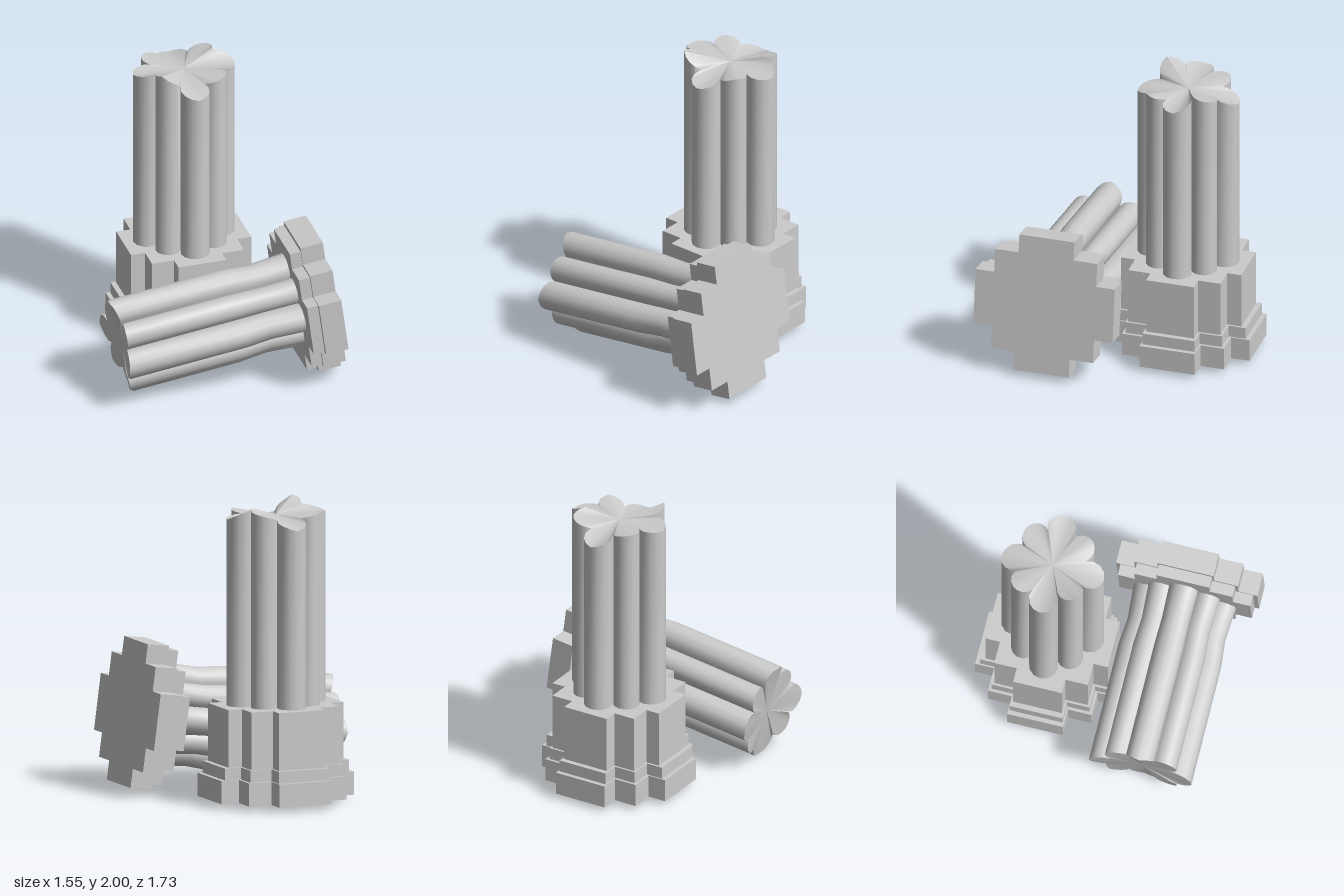
import * as THREE from 'three';
import { toCreasedNormals } from 'three/addons/utils/BufferGeometryUtils.js';

const stone = new THREE.MeshStandardMaterial({ color: 0xcccccc });
const shell = new THREE.MeshStandardMaterial({ color: 0xcccccc, side: THREE.DoubleSide });

// Skin a stack of closed rings; optional end caps fan out from a point on the axis
function loft(rings, bottomY, topY) {
  const pos = [];
  const tri = (...pts) => pts.forEach((p) => pos.push(p.x, p.y, p.z));
  const n = rings[0].length;
  for (let r = 0; r < rings.length - 1; r++) {
    const lo = rings[r], hi = rings[r + 1];
    for (let i = 0; i < n; i++) {
      const j = (i + 1) % n;
      tri(lo[i], hi[i], lo[j]);
      tri(lo[j], hi[i], hi[j]);
    }
  }
  const first = rings[0], last = rings[rings.length - 1];
  for (let i = 0; i < n; i++) {
    const j = (i + 1) % n;
    if (bottomY !== null) tri(new THREE.Vector3(0, bottomY, 0), first[i], first[j]);
    if (topY !== null) tri(new THREE.Vector3(0, topY, 0), last[j], last[i]);
  }
  const geo = new THREE.BufferGeometry();
  geo.setAttribute('position', new THREE.Float32BufferAttribute(pos, 3));
  return toCreasedNormals(geo, 0.7);
}

// Stepped cross outline: arm reach a, shoulder b, arm half width c
function crossRing(a, b, c, y) {
  const quarter = [[a, -c], [a, c], [b, c], [b, b], [c, b]];
  const ring = [];
  for (let q = 0; q < 4; q++) {
    for (const [x, z] of quarter) {
      const [s, t] = [[x, z], [-z, x], [-x, -z], [z, -x]][q];
      ring.push(new THREE.Vector3(s, y, t));
    }
  }
  return ring;
}

// Each tier is [reach, shoulder, arm half width, bottom, top]
function plinth(tiers, closed) {
  const rings = tiers.flatMap(([a, b, c, y0, y1]) => [crossRing(a, b, c, y0), crossRing(a, b, c, y1)]);
  return loft(rings, closed ? tiers[0][3] : null, tiers[tiers.length - 1][4]);
}

// Eight-lobed outline: four large lobes alternating with four smaller ones
const SEG = 8;
function lobeRing(scale, height) {
  const ring = [];
  for (let k = 0; k < 8; k++) {
    const big = k % 2 === 0;
    const dist = big ? 0.252 : 0.22, rad = big ? 0.097 : 0.087;
    const sweep = THREE.MathUtils.degToRad(big ? 118 : 99.5);
    const dir = (k * Math.PI) / 4;
    for (let s = 0; s < SEG; s++) {
      const t = s / SEG;
      const a = dir + sweep * (2 * t - 1);
      ring.push(new THREE.Vector3(
        scale * (dist * Math.cos(dir) + rad * Math.cos(a)),
        height(k, t),
        scale * (dist * Math.sin(dir) + rad * Math.sin(a))));
    }
  }
  return ring;
}

// Broken shaft: sections are [y, scale]; the rim runs valley, tip, valley
function shaft(sections, tips, valleys, centerY) {
  const rim = (k, t) => {
    const from = valleys[(k + 7) % 8], to = valleys[k];
    return t < 0.5
      ? THREE.MathUtils.lerp(from, tips[k], t * 2)
      : THREE.MathUtils.lerp(tips[k], to, t * 2 - 1);
  };
  const rings = sections.map(([y, s]) => lobeRing(s, () => y));
  rings.push(lobeRing(1, rim));
  return loft(rings, sections[0][0], centerY);
}

function part(name, geometry, material, parent) {
  const mesh = new THREE.Mesh(geometry, material);
  mesh.name = name;
  parent.add(mesh);
}

export function createModel() {
  const model = new THREE.Group();
  model.name = 'ruinedColumns';

  // Standing column on a three-tier plinth that is hollow underneath
  const standing = new THREE.Group();
  standing.name = 'standingColumn';
  standing.position.set(-0.015, 0, -0.387);
  part('standingPlinth', plinth([
    [0.48, 0.352, 0.19, 0.035, 0.19],
    [0.45, 0.333, 0.18, 0.19, 0.27],
    [0.415, 0.318, 0.165, 0.27, 0.655],
  ], false), shell, standing);
  part('standingShaft', shaft([[0.65, 1]],
    [1.9, 1.94, 1.85, 2.0, 1.92, 1.94, 1.85, 1.95],
    [1.92, 1.89, 1.9, 1.96, 1.93, 1.91, 1.91, 1.98], 1.91), stone, standing);
  model.add(standing);

  // Fallen column, lying on its side with a two-tier plinth
  const fallen = new THREE.Group();
  fallen.name = 'fallenColumn';
  fallen.position.set(0.71, 0.525, 0.386);
  fallen.rotation.z = THREE.MathUtils.degToRad(97.5);
  part('fallenPlinth', plinth([
    [0.48, 0.352, 0.19, 0, 0.155],
    [0.45, 0.333, 0.18, 0.155, 0.23],
  ], true), stone, fallen);
  part('fallenShaft', shaft([[0.22, 1], [0.46, 0.95], [0.64, 1]],
    [1.45, 1.415, 1.455, 1.44, 1.375, 1.43, 1.45, 1.42],
    [1.4, 1.42, 1.45, 1.42, 1.4, 1.42, 1.43, 1.4], 1.4), stone, fallen);
  model.add(fallen);

  return model;
}
